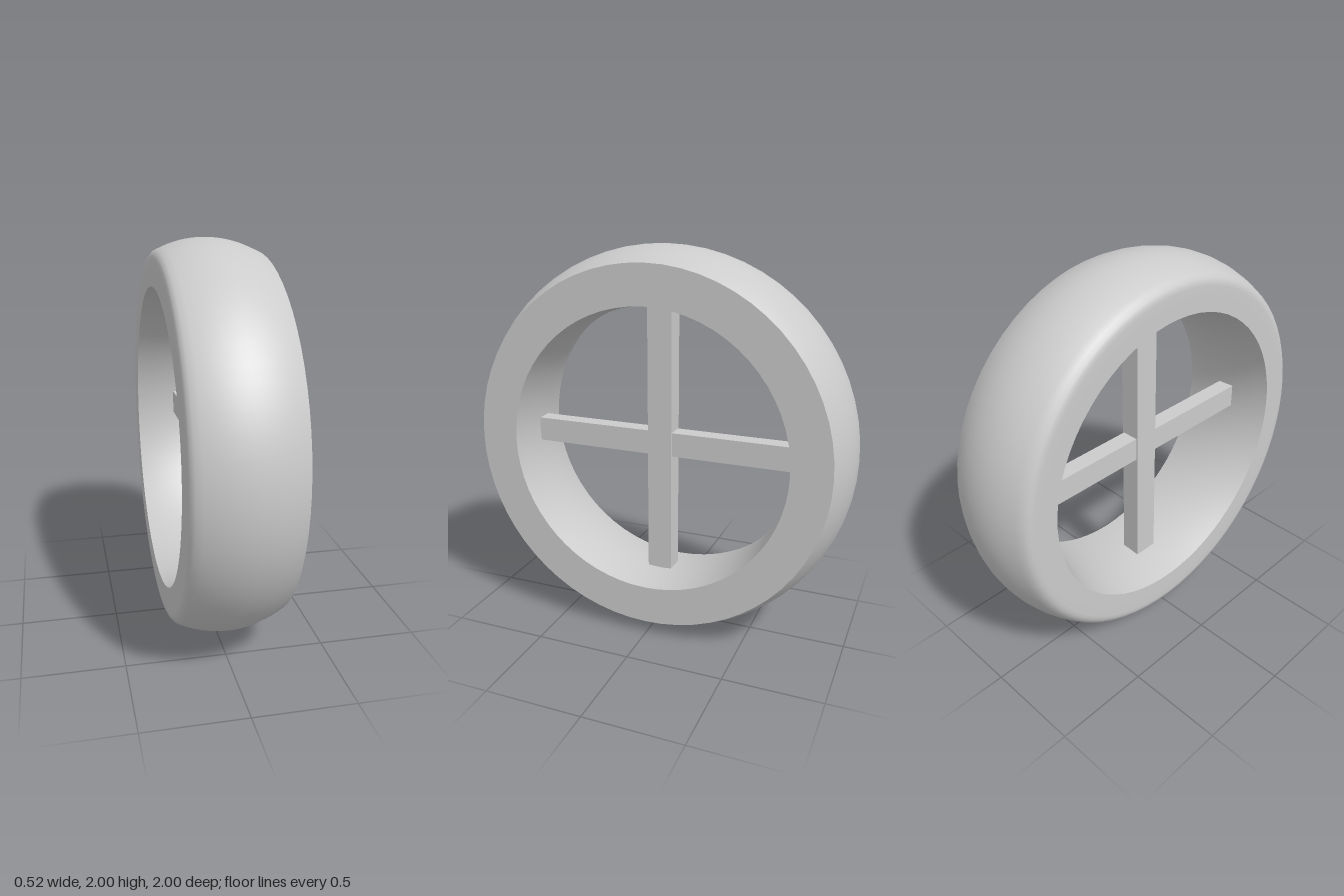
import * as THREE from 'three';

const SEGMENTS = 64;

export function createModel() {
  const group = new THREE.Group();
  const material = new THREE.MeshStandardMaterial({ color: 0xcccccc });

  // Turns a list of [x, radius] points about the x axis
  function addRing(name, profile) {
    const points = profile.map(([x, r]) => new THREE.Vector2(r, x));
    const geometry = new THREE.LatheGeometry(points, SEGMENTS);
    geometry.rotateZ(-Math.PI / 2);
    const mesh = new THREE.Mesh(geometry, material);
    mesh.name = name;
    mesh.position.y = 1;
    group.add(mesh);
  }

  function addSpoke(name, size, position) {
    const mesh = new THREE.Mesh(new THREE.BoxGeometry(...size), material);
    mesh.name = name;
    mesh.position.set(...position);
    group.add(mesh);
  }

  // Back face, rounded shoulder and crowned tread
  const tread = [[-0.26, 0.765], [-0.26, 0.83], [-0.26, 0.89], [-0.257, 0.91], [-0.25, 0.925]];
  for (let i = 0; i <= 16; i++) {
    const x = -0.235 + (0.495 * i) / 16;
    tread.push([x, 1 - 0.07 * (x / 0.26) ** 2]);
  }
  addRing('tread', tread);

  // Flat side wall with sharp edges
  addRing('sideWall', [[0.26, 0.93], [0.26, 0.73]]);

  // Inner wall, narrowest near the middle
  const inner = [];
  for (let i = 0; i <= 12; i++) {
    const x = 0.26 - (0.52 * i) / 12;
    inner.push([x, 0.715 + 0.5 * (x - 0.06) ** 2 * (x > 0.06 ? 0.75 : 1)]);
  }
  addRing('innerWall', inner);

  // Crossed spokes, the horizontal one slightly thinner
  addSpoke('verticalSpoke', [0.107, 1.434, 0.13], [-0.008, 1, 0.005]);
  addSpoke('horizontalSpoke', [0.09, 0.127, 1.434], [-0.008, 0.993, 0]);

  return group;
}
